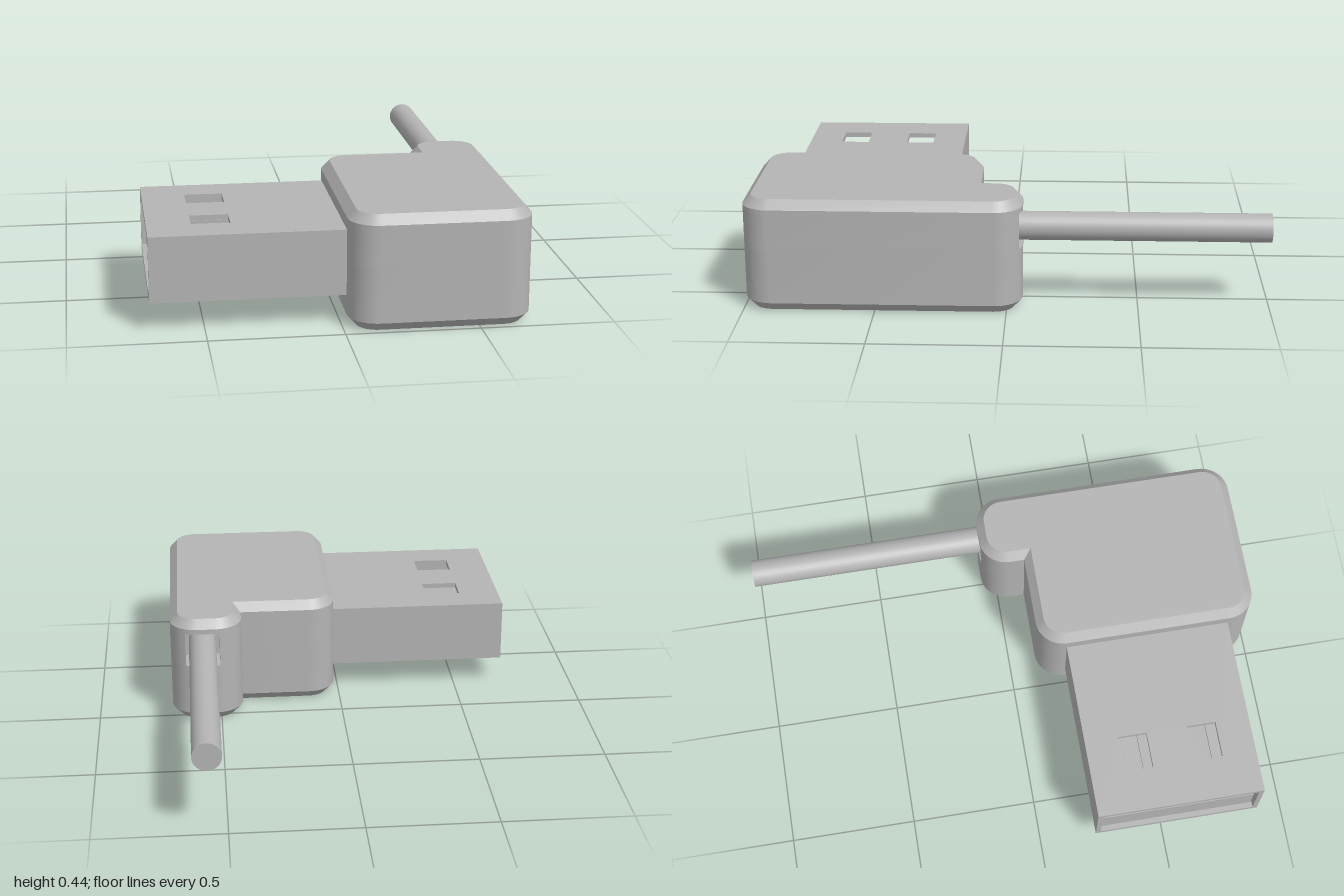
import * as THREE from 'three';
import { toCreasedNormals } from 'three/addons/utils/BufferGeometryUtils.js';

const grey = new THREE.MeshStandardMaterial({ color: 0xb4b4b4 });
grey.name = 'plain grey';

function add(parent, name, geometry, x = 0, y = 0, z = 0) {
  const mesh = new THREE.Mesh(geometry, grey);
  mesh.name = name;
  mesh.position.set(x, y, z);
  parent.add(mesh);
  return mesh;
}

// Box given by its limits on each axis
function addBox(parent, name, [x0, x1], [y0, y1], [z0, z1]) {
  return add(parent, name, new THREE.BoxGeometry(x1 - x0, y1 - y0, z1 - z0),
    (x0 + x1) / 2, (y0 + y1) / 2, (z0 + z1) / 2);
}

// Rounded L-shaped plan of the housing, as (x, z) points, shrunk by an inset
function outline(inset) {
  const x0 = 0.02 + inset, x1 = 0.7 - inset, xm = 0.41 + inset;
  const z0 = -0.06 + inset, z1 = 1 - inset, zm = 0.11 + inset;
  const r = 0.11 - inset, steps = 10, points = [];
  const corners = [
    [xm + r, z0 + r, 2], [x1 - r, z0 + r, 3], [x1 - r, z1 - r, 0],
    [x0 + r, z1 - r, 1], [x0 + r, zm + r, 2],
  ];
  for (const [cx, cz, quarter] of corners) {
    for (let i = 0; i <= steps; i++) {
      const a = (quarter + i / steps) * Math.PI / 2;
      points.push(new THREE.Vector2(cx + r * Math.cos(a), cz + r * Math.sin(a)));
    }
  }
  points.push(new THREE.Vector2(xm, zm));
  return points;
}

// The same plan with a rectangular slot cut into the cable end
function slottedOutline() {
  const left = 0.5, right = 0.64, depth = 0.06;
  const inSlot = (p) => p.z !== null && p.y < 0 && p.x >= left && p.x <= right;
  const points = outline(0).filter((p) => !inSlot(p));
  const at = points.findIndex((p) => p.x > right);
  const slot = [[left, -0.058], [left, depth], [right, depth], [right, -0.048]];
  points.splice(at, 0, ...slot.map(([x, z]) => new THREE.Vector2(x, z)));
  return points;
}

// Closed solid through stacked rings of equal point count
function loft(rings) {
  const positions = [];
  const put = (p, y) => positions.push(p.x, y, p.y);
  for (let k = 0; k + 1 < rings.length; k++) {
    const [ya, a] = rings[k], [yb, b] = rings[k + 1];
    for (let i = 0; i < a.length; i++) {
      const j = (i + 1) % a.length;
      put(a[i], ya); put(b[i], yb); put(a[j], ya);
      put(a[j], ya); put(b[i], yb); put(b[j], yb);
    }
  }
  const cap = ([y, ring], flip) => {
    for (const [i, j, k] of THREE.ShapeUtils.triangulateShape(ring, [])) {
      put(ring[i], y);
      put(ring[flip ? k : j], y);
      put(ring[flip ? j : k], y);
    }
  };
  cap(rings[0], false);
  cap(rings[rings.length - 1], true);
  const geometry = new THREE.BufferGeometry();
  geometry.setAttribute('position', new THREE.Float32BufferAttribute(positions, 3));
  return toCreasedNormals(geometry, 0.5);
}

function rectangle(path, x0, x1, z0, z1) {
  path.moveTo(x0, z0);
  path.lineTo(x1, z0);
  path.lineTo(x1, z1);
  path.lineTo(x0, z1);
  path.closePath();
  return path;
}

// Flat metal plate with two latch windows
function windowPlate(thickness) {
  const shape = rectangle(new THREE.Shape(), -0.7, 0.04, 0.22, 0.885);
  for (const z of [0.355, 0.635]) {
    shape.holes.push(rectangle(new THREE.Path(), -0.535, -0.39, z, z + 0.115));
  }
  return new THREE.ExtrudeGeometry(shape, { depth: thickness, bevelEnabled: false })
    .rotateX(Math.PI / 2);
}

export function createModel() {
  const model = new THREE.Group();
  model.name = 'angledPlug';

  // Housing: bevelled bottom and top, slotted layer between
  const housing = new THREE.Group();
  housing.name = 'housing';
  model.add(housing);
  const full = outline(0), small = outline(0.032), slotted = slottedOutline();
  add(housing, 'lowerHousing', loft([[0, small], [0.035, full], [0.245, full]]));
  add(housing, 'slottedHousing', loft([[0.245, slotted], [0.385, slotted]]));
  add(housing, 'upperHousing', loft([[0.385, full], [0.405, full], [0.44, small]]));

  // Hollow metal connector shell
  const connector = new THREE.Group();
  connector.name = 'connector';
  model.add(connector);
  const wall = 0.02;
  add(connector, 'shellTop', windowPlate(wall), 0, 0.36, 0);
  add(connector, 'shellBottom', windowPlate(wall), 0, 0.11 + wall, 0);
  addBox(connector, 'shellBackSide', [-0.7, 0.04], [0.13, 0.34], [0.22, 0.22 + wall]);
  addBox(connector, 'shellFrontSide', [-0.7, 0.04], [0.13, 0.34], [0.885 - wall, 0.885]);

  // Tongue with four contacts inside the shell
  addBox(connector, 'tongue', [-0.68, 0.04], [0.135, 0.25], [0.245, 0.86]);
  for (let i = 0; i < 4; i++) {
    const z = 0.3425 + i * 0.14;
    addBox(connector, 'contact', [-0.665, -0.2], [0.25, 0.262], [z - 0.04, z + 0.04]);
  }

  // Cable leaving the slot
  const cable = new THREE.CylinderGeometry(0.055, 0.055, 1.06, 32).rotateX(Math.PI / 2);
  add(model, 'cable', cable, 0.57, 0.315, -0.47);

  return model;
}
